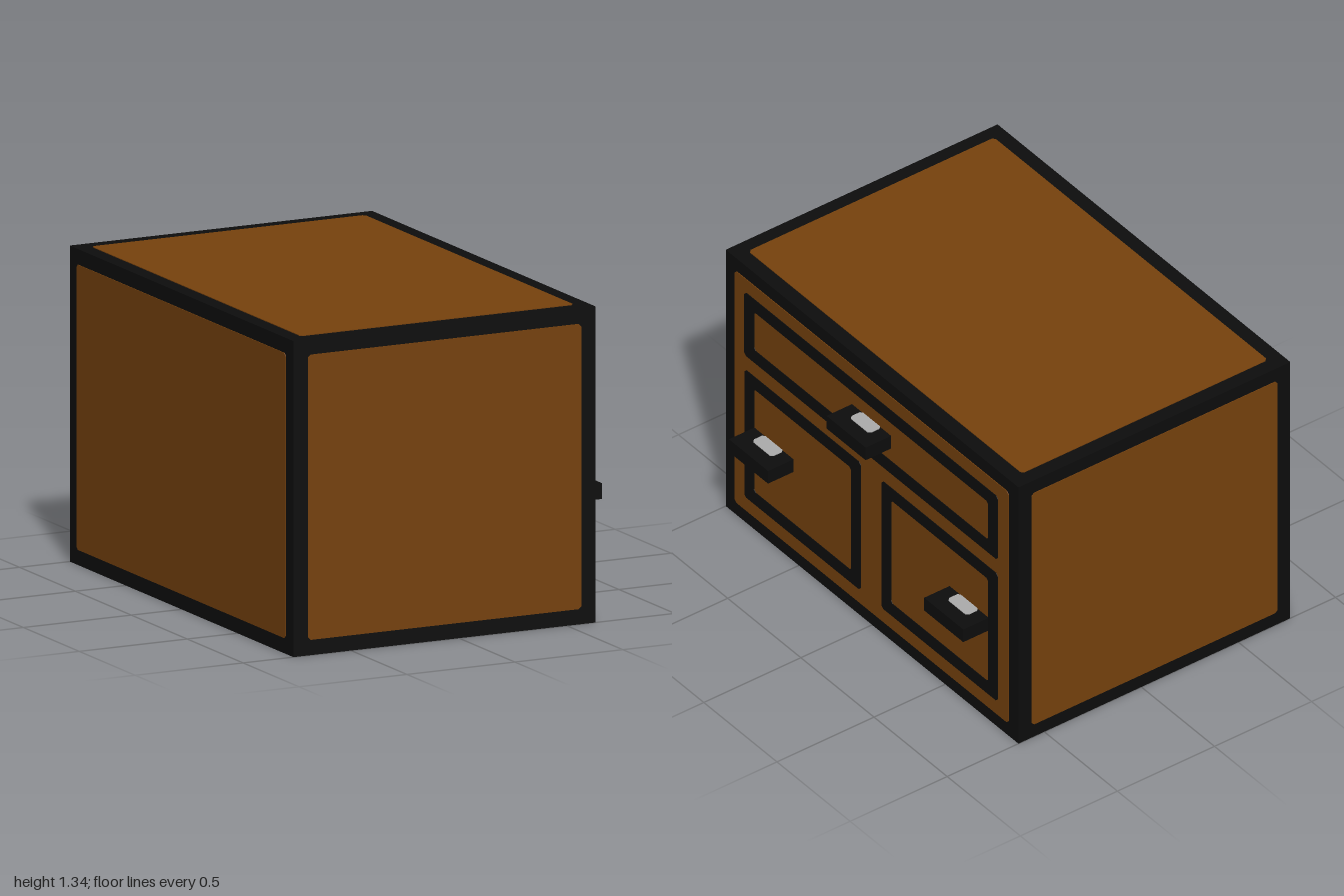
import * as THREE from 'three';

const wood = new THREE.MeshStandardMaterial({ color: 0x77420d });
wood.name = 'brown wood';
const trim = new THREE.MeshStandardMaterial({ color: 0x0d0d0d });
trim.name = 'black trim';
const metal = new THREE.MeshStandardMaterial({ color: 0xababab });
metal.name = 'grey metal';

const THIN = 0.003;
const BODY = { x0: -0.767, x1: 0.633, h: 1.333, z: 1 };
const CX = (BODY.x0 + BODY.x1) / 2;
const CY = BODY.h / 2;

// Rectangle outline with small cut corners
function outline(Type, w, h, c = 0.012) {
  const a = w / 2, b = h / 2;
  return new Type([
    [-a + c, -b], [a - c, -b], [a, -b + c], [a, b - c],
    [a - c, b], [-a + c, b], [-a, b - c], [-a, -b + c],
  ].map(([x, y]) => new THREE.Vector2(x, y)));
}

// Thin plate facing +z, optionally with a rectangular opening
function plate(name, w, h, material, border = 0) {
  const shape = outline(THREE.Shape, w, h);
  if (border) shape.holes.push(outline(THREE.Path, w - 2 * border, h - 2 * border));
  const geometry = new THREE.ExtrudeGeometry(shape, { depth: THIN, bevelEnabled: false });
  const mesh = new THREE.Mesh(geometry, material);
  mesh.name = name;
  return mesh;
}

// Pull with a metal inset above and below
function createHandle(name, y, z) {
  const handle = new THREE.Group();
  handle.name = name;
  const size = { x: 0.134, y: 0.066, z: 0.267 };
  const bar = new THREE.Mesh(new THREE.BoxGeometry(size.x, size.y, size.z), trim);
  bar.name = 'handleBar';
  bar.position.x = size.x / 2;
  handle.add(bar);
  for (const side of [1, -1]) {
    const inset = plate('handleInset', 0.066, 0.136, metal);
    inset.rotation.x = -side * Math.PI / 2;
    inset.position.set(0.034, side * size.y / 2, 0);
    handle.add(inset);
  }
  handle.position.set(BODY.x1, y, z);
  return handle;
}

export function createModel() {
  const model = new THREE.Group();
  model.name = 'cabinet';

  // Dark carcass
  const width = BODY.x1 - BODY.x0;
  const body = new THREE.Mesh(new THREE.BoxGeometry(width, BODY.h, 2 * BODY.z), trim);
  body.name = 'cabinetBody';
  body.position.set(CX, CY, 0);
  model.add(body);

  // Wood panels on every face but the underside
  const place = (mesh, x, y, z, rx, ry) => {
    mesh.position.set(x, y, z);
    mesh.rotation.set(rx, ry, 0);
    model.add(mesh);
  };
  const pw = width - 0.134, ph = BODY.h - 0.13, pd = 2 * BODY.z - 0.13;
  const q = Math.PI / 2;
  place(plate('sidePanel', pw, ph, wood), CX, CY, BODY.z, 0, 0);
  place(plate('sidePanel', pw, ph, wood), CX, CY, -BODY.z, 0, Math.PI);
  place(plate('drawerSidePanel', pd, ph, wood), BODY.x1, CY, 0, 0, q);
  place(plate('backPanel', pd, ph, wood), BODY.x0, CY, 0, 0, -q);
  place(plate('topPanel', pw, pd, wood), CX, BODY.h, 0, -q, 0);

  // Drawer and door frames on the working side
  const fx = BODY.x1 + THIN;
  place(plate('drawerFrame', 1.732, 0.328, trim, 0.065), fx, 1.037, 0, 0, q);
  model.add(createHandle('drawerHandle', 1.034, 0));
  for (const s of [1, -1]) {
    place(plate('doorFrame', 0.794, 0.662, trim, 0.064), fx, 0.468, s * 0.468, 0, q);
    model.add(createHandle('doorHandle', 0.5, s * 0.667));
  }
  return model;
}
